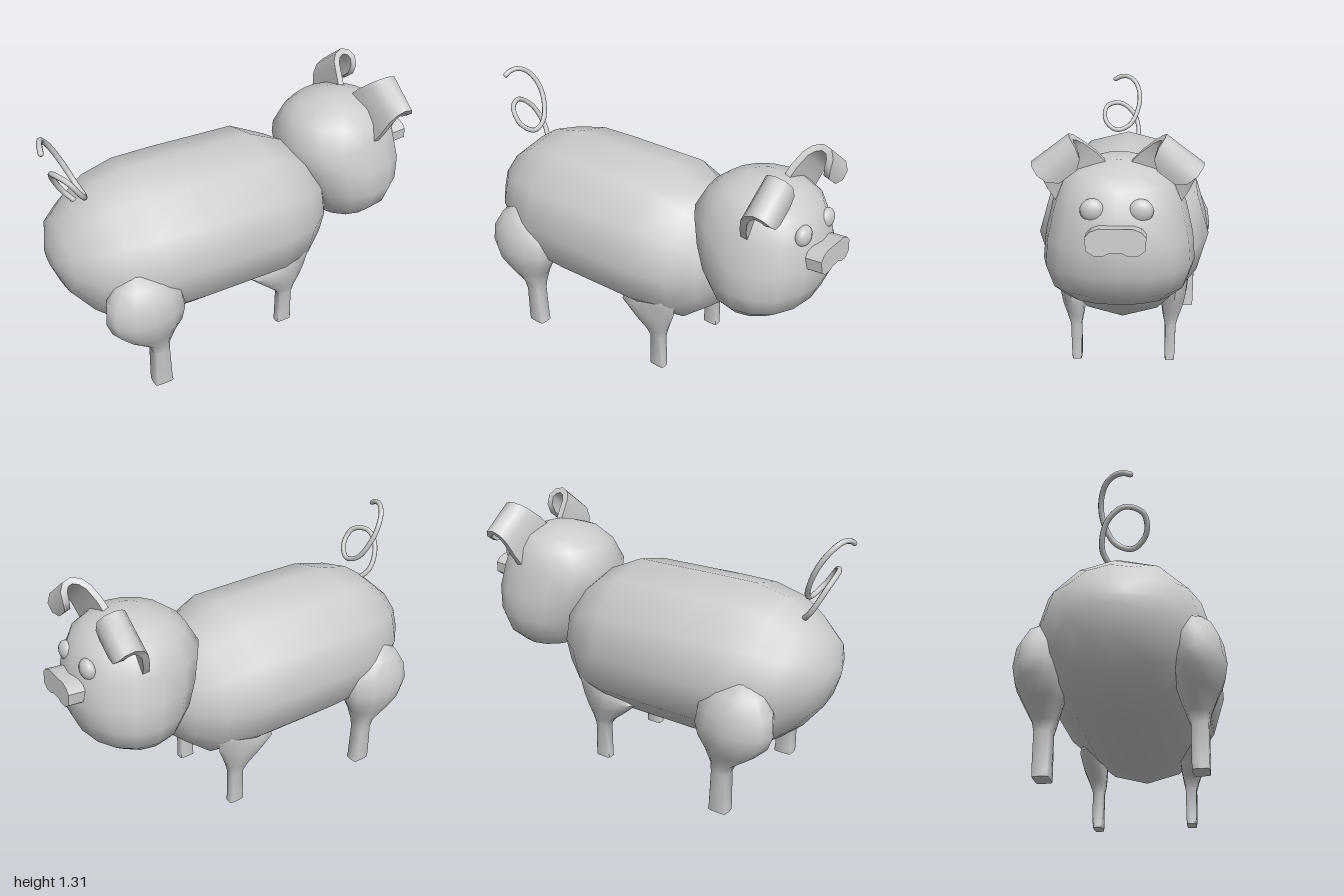
import * as THREE from 'three';
import { toCreasedNormals } from 'three/addons/utils/BufferGeometryUtils.js';

const material = new THREE.MeshStandardMaterial({ color: 0xcccccc });

function add(parent, name, geometry) {
  const mesh = new THREE.Mesh(geometry, material);
  mesh.name = name;
  parent.add(mesh);
  return mesh;
}

// Closed skin over rings of points, with both ends capped and faces outward
function loft(rings, crease = 0.95) {
  const n = rings[0].length, last = rings.length - 1;
  const points = rings.flat();
  const centre = (ring) => ring.reduce((s, p) => s.add(p), new THREE.Vector3()).divideScalar(n);
  const start = points.push(centre(rings[0])) - 1;
  const end = points.push(centre(rings[last])) - 1;
  const index = [];
  for (let i = 0; i < n; i++) {
    const j = (i + 1) % n;
    for (let r = 0; r < last; r++) {
      const a = r * n + i, b = r * n + j;
      index.push(a, b, b + n, a, b + n, a + n);
    }
    index.push(start, j, i, end, last * n + i, last * n + j);
  }
  let volume = 0;
  for (let k = 0; k < index.length; k += 3) {
    const [a, b, c] = [0, 1, 2].map((m) => points[index[k + m]]);
    volume += a.dot(b.clone().cross(c));
  }
  if (volume < 0) index.reverse();
  const geometry = new THREE.BufferGeometry().setFromPoints(points);
  geometry.setIndex(index);
  return toCreasedNormals(geometry, crease);
}

// Unit outline: power 2 is round, larger powers are squarer
function outline(count, power, place) {
  return Array.from({ length: count }, (_, i) => {
    const t = (i / count) * Math.PI * 2;
    const f = (v) => (Math.abs(v) < 1e-6 ? 0 : Math.sign(v) * Math.abs(v) ** (2 / power));
    return place(f(Math.cos(t)), f(Math.sin(t)));
  });
}

// Upright shape from rows of [y, x min, x max, z min, z max, power]
function uprightLoft(rows, count, side = 1) {
  return loft(rows.map(([y, x0, x1, z0, z1, power]) => outline(count, power, (c, s) =>
    new THREE.Vector3((x0 + x1) / 2 + c * (x1 - x0) / 2, y, side * ((z0 + z1) / 2 + s * (z1 - z0) / 2)))));
}

function bodyGeometry() {
  // [x, bottom, top, half width]
  const rows = [
    [-0.985, 0.62, 0.72, 0.08], [-0.94, 0.5, 0.84, 0.21], [-0.84, 0.37, 0.925, 0.31],
    [-0.73, 0.275, 1.0, 0.37], [-0.56, 0.257, 1.037, 0.42], [-0.35, 0.255, 1.04, 0.43],
    [0.1, 0.26, 1.04, 0.425], [0.28, 0.27, 0.96, 0.345], [0.4, 0.37, 0.86, 0.25], [0.49, 0.53, 0.75, 0.11],
  ];
  return loft(rows.map(([x, y0, y1, w]) => outline(12, 2, (c, s) =>
    new THREE.Vector3(x, (y0 + y1) / 2 + s * (y1 - y0) / 2, c * w))));
}

const headRows = [
  [0.52, 0.49, 0.74, -0.15, 0.15, 2], [0.54, 0.455, 0.81, -0.24, 0.24, 2.1],
  [0.6, 0.415, 0.885, -0.3, 0.3, 2.2], [0.7, 0.365, 0.925, -0.335, 0.335, 2.2],
  [0.82, 0.315, 0.94, -0.325, 0.325, 2.2], [0.95, 0.28, 0.915, -0.295, 0.295, 2.2],
  [1.06, 0.34, 0.87, -0.255, 0.255, 2.1], [1.115, 0.41, 0.8, -0.2, 0.2, 2], [1.155, 0.52, 0.69, -0.08, 0.08, 2],
];
const hindLegRows = [
  [0, -0.645, -0.545, 0.305, 0.38, 6], [0.03, -0.645, -0.55, 0.303, 0.383, 6],
  [0.21, -0.643, -0.557, 0.303, 0.385, 5], [0.26, -0.665, -0.55, 0.285, 0.395, 3],
  [0.33, -0.765, -0.52, 0.26, 0.43, 2.2], [0.4, -0.835, -0.478, 0.24, 0.463, 2],
  [0.47, -0.86, -0.46, 0.23, 0.474, 2], [0.56, -0.85, -0.475, 0.23, 0.462, 2],
  [0.64, -0.8, -0.53, 0.25, 0.425, 2], [0.69, -0.725, -0.65, 0.29, 0.37, 2],
];
const foreLegRows = [
  [0, 0.13, 0.215, 0.213, 0.26, 6], [0.03, 0.132, 0.213, 0.212, 0.263, 6],
  [0.19, 0.135, 0.21, 0.21, 0.267, 5], [0.235, 0.1, 0.225, 0.2, 0.282, 3],
  [0.3, 0.02, 0.255, 0.19, 0.308, 2.2], [0.36, -0.045, 0.28, 0.19, 0.322, 2],
  [0.42, 0.0, 0.291, 0.2, 0.326, 2], [0.46, 0.12, 0.29, 0.225, 0.323, 2], [0.487, 0.2, 0.275, 0.26, 0.31, 2],
];

// Thick ear leaf that rises from the head and folds forward
function earGeometry(side) {
  // [x, height along the ear, half width]
  const path = [
    [0.675, -0.03, 0.14], [0.69, 0.05, 0.132], [0.71, 0.12, 0.115], [0.735, 0.155, 0.105], [0.77, 0.172, 0.1],
    [0.805, 0.162, 0.1], [0.825, 0.13, 0.1], [0.825, 0.085, 0.085], [0.817, 0.055, 0.045],
  ];
  const half = 0.016;
  return loft(path.map(([x, h, w], i) => {
    const a = path[Math.max(i - 1, 0)], b = path[Math.min(i + 1, path.length - 1)];
    const dx = b[0] - a[0], dh = b[1] - a[1], len = Math.hypot(dx, dh);
    return [[-1, -1], [0, -1], [1, -1], [1, 1], [0, 1], [-1, 1]].map(([v, t]) => {
      const px = x + (t * half * dh) / len, ph = h - (t * half * dx) / len;
      return new THREE.Vector3(px, 1.07 + 0.8 * ph - 0.6 * v * w, side * (0.17 + 0.6 * ph + 0.8 * v * w));
    });
  }), 0.8);
}

// Flat snout pad with a notch below
function snoutGeometry() {
  const halfOutline = [[0, 0.055], [0.07, 0.055], [0.105, 0.042], [0.125, 0.02], [0.121, -0.035], [0.09, -0.057], [0.05, -0.057], [0.025, -0.045]];
  const mirrored = halfOutline.slice(1).reverse().map(([z, y]) => [-z, y]);
  const shape = new THREE.Shape([...halfOutline, ...mirrored].map(([z, y]) => new THREE.Vector2(z, y)));
  const geometry = new THREE.ExtrudeGeometry(shape, { depth: 0.12, bevelEnabled: false });
  return toCreasedNormals(geometry.rotateY(Math.PI / 2), 0.8);
}

export function createModel() {
  const pig = new THREE.Group();
  pig.name = 'pig';
  add(pig, 'body', bodyGeometry());

  const head = new THREE.Group();
  head.name = 'head';
  pig.add(head);
  add(head, 'skull', uprightLoft(headRows, 16));
  const snout = add(head, 'snout', snoutGeometry());
  snout.position.set(0.868, 0.868, 0);
  snout.rotation.z = 0.09;

  for (const side of [1, -1]) {
    const label = side > 0 ? 'nearSide' : 'farSide';
    add(head, label + 'Ear', earGeometry(side));
    const eye = add(head, label + 'Eye', new THREE.SphereGeometry(0.053, 16, 12));
    eye.scale.set(0.65, 0.95, 1);
    eye.position.set(0.872, 0.98, side * 0.1);
    add(pig, label + 'HindLeg', uprightLoft(hindLegRows, 12, side));
    add(pig, label + 'ForeLeg', uprightLoft(foreLegRows, 12, side));
  }

  // Curly tail with one loop
  const tail = new THREE.CatmullRomCurve3([
    [-0.8, 0.9, -0.01], [-0.865, 0.97, -0.05], [-0.92, 1.08, -0.02], [-0.935, 1.14, 0.06], [-0.895, 1.125, 0.14],
    [-0.845, 1.05, 0.145], [-0.81, 1.0, 0.08], [-0.82, 1.03, 0], [-0.86, 1.13, -0.05], [-0.9, 1.21, -0.053],
    [-0.94, 1.27, -0.025], [-0.965, 1.295, 0.02], [-0.98, 1.29, 0.065], [-0.985, 1.275, 0.093],
  ].map((p) => new THREE.Vector3(...p)));
  add(pig, 'tail', new THREE.TubeGeometry(tail, 70, 0.013, 8));
  const tip = add(pig, 'tailTip', new THREE.SphereGeometry(0.013, 8, 6));
  tip.position.copy(tail.getPoint(1));
  return pig;
}
